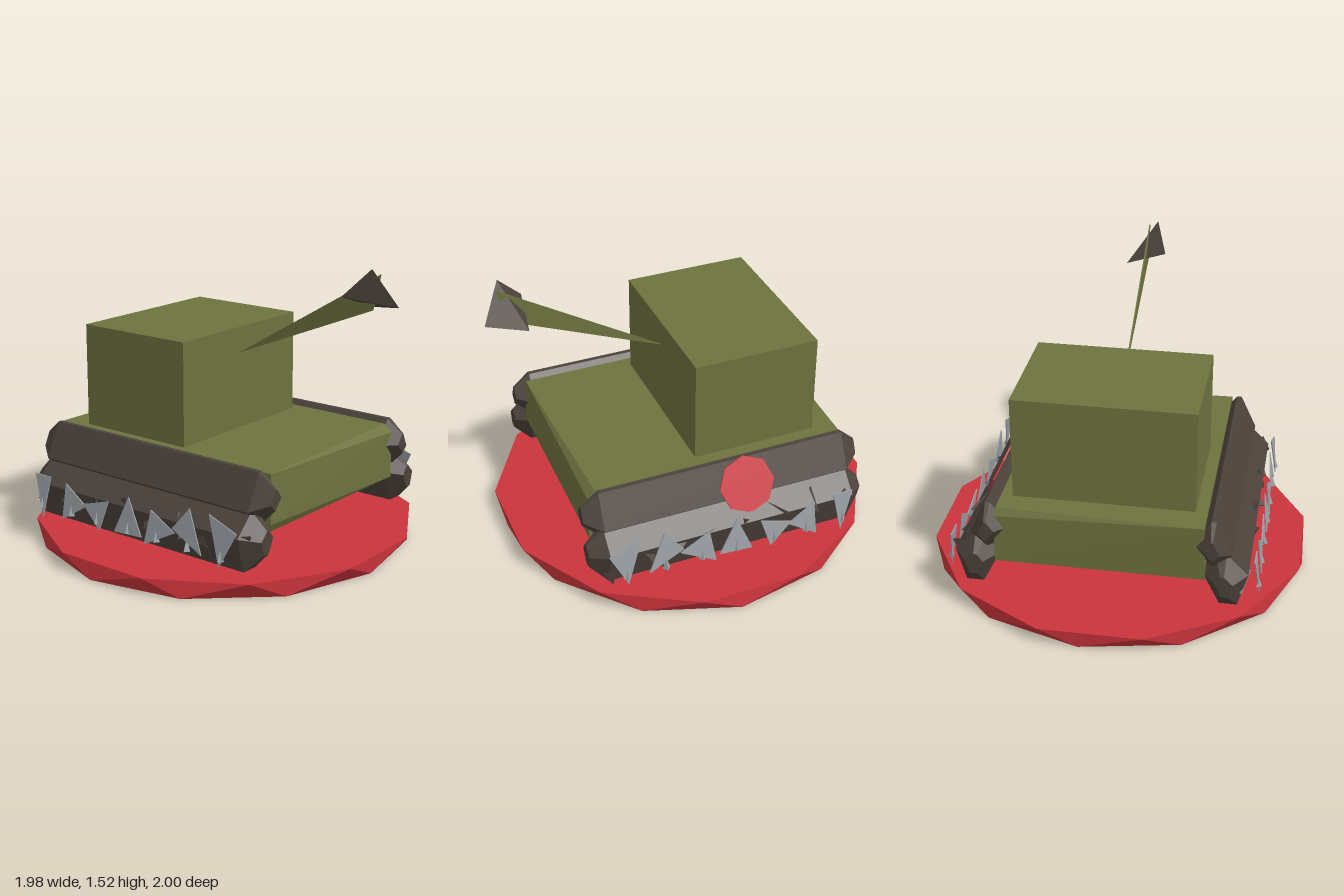
import * as THREE from 'three';
import { ConvexGeometry } from 'three/addons/geometries/ConvexGeometry.js';

const mat = (name, color) => {
  const m = new THREE.MeshStandardMaterial({ color, flatShading: true, side: THREE.DoubleSide });
  m.name = name;
  return m;
};

export function createModel() {
  const olive = mat('olive', 0x6d733f);
  const red = mat('red', 0xcb343c);
  const brown = mat('dark brown', 0x4c423b);
  const steel = mat('steel', 0x9ba1a7);
  const model = new THREE.Group();

  const add = (parent, name, geometry, material) => {
    const mesh = new THREE.Mesh(geometry, material);
    mesh.name = name;
    parent.add(mesh);
    return mesh;
  };
  const hull = (points) => new ConvexGeometry(points.map((p) => new THREE.Vector3(...p)));

  let seed = 7;
  const random = () => (seed = (seed * 16807) % 2147483647) / 2147483647;

  // Base: two twelve-sided rings, twisted against each other
  const rim = [];
  for (let i = 0; i < 12; i++) {
    const a = ((i + 0.5) * Math.PI) / 6;
    const b = a - 0.2;
    rim.push([1.01 * Math.cos(a), 0.09, 1.01 * Math.sin(a) - 0.02]);
    rim.push([0.99 * Math.cos(b), 0, 0.97 * Math.sin(b) - 0.02]);
  }
  add(model, 'base', hull(rim), red);

  // Body: slightly uneven block
  add(model, 'body', hull([
    [-0.52, 0.58, 0.67], [0.52, 0.58, 0.64], [0.53, 0.54, 0.68], [-0.53, 0.33, 0.68],
    [0.53, 0.29, 0.68], [-0.53, 0.28, 0.65], [0.53, 0.28, 0.66],
    [-0.52, 0.58, -0.73], [0.52, 0.58, -0.7], [0.53, 0.54, -0.72],
    [-0.53, 0.28, -0.72], [0.53, 0.28, -0.72],
  ]), olive);

  // Turret
  const turret = add(model, 'turret', new THREE.BoxGeometry(0.92, 0.54, 0.66), olive);
  turret.position.set(0, 0.85, -0.25);

  // Barrel: thin flaring plate with a pointed tip
  const barrel = [];
  for (const x of [-0.003, 0.003]) {
    barrel.push([x, 0.98, 0.07], [x, 1.49, 0.92], [x, 1.31, 0.88]);
  }
  add(model, 'barrel', hull(barrel), olive);
  add(model, 'barrelTip', hull([
    [-0.05, 1.52, 0.9], [-0.11, 1.38, 0.77], [0.11, 1.3, 0.8], [0.04, 1.33, 1],
  ]), brown);

  // Long bar with tapered ends from a cross-section in x and y
  const bar = (side, section) => {
    const cx = section.reduce((s, p) => s + p[0], 0) / section.length;
    const cy = section.reduce((s, p) => s + p[1], 0) / section.length;
    const points = [];
    for (const [z, k] of [[0.73, 0.4], [0.64, 1], [-0.69, 1], [-0.77, 0.4]]) {
      for (const [x, y] of section) points.push([side * (cx + (x - cx) * k), cy + (y - cy) * k, z]);
    }
    return hull(points);
  };
  const upper = [[0.45, 0.47], [0.55, 0.6], [0.575, 0.6], [0.66, 0.42], [0.57, 0.33]];
  const lower = [[0.51, 0.31], [0.58, 0.41], [0.63, 0.42], [0.74, 0.31], [0.69, 0.13], [0.6, 0.13]];

  // Teeth as triangles of z and y
  const teeth = [
    [[0.66, 0.35], [0.49, 0.41], [0.57, 0.17]],
    [[0.37, 0.41], [0.46, 0.2], [0.27, 0.29]],
    [[0.29, 0.27], [0.13, 0.35], [0.1, 0.17]],
    [[-0.02, 0.38], [0.08, 0.2], [-0.1, 0.19]],
    [[-0.15, 0.33], [-0.2, 0.17], [-0.32, 0.28]],
    [[-0.3, 0.27], [-0.45, 0.36], [-0.46, 0.17]],
    [[-0.56, 0.37], [-0.67, 0.37], [-0.6, 0.15]],
  ];

  for (const side of [1, -1]) {
    const track = new THREE.Group();
    track.name = side > 0 ? 'leftTrack' : 'rightTrack';
    model.add(track);
    add(track, 'upperTrack', bar(side, upper), brown);
    add(track, 'lowerTrack', bar(side, lower), brown);

    // Rough studs along the outer face
    for (let i = 0; i < 8; i++) {
      const stud = add(track, 'stud', new THREE.TetrahedronGeometry(0.085), brown);
      stud.position.set(side * 0.69, 0.21 + 0.1 * random(), 0.62 - i * 0.18);
      stud.rotation.set(random() * 6, random() * 6, random() * 6);
    }

    // Thin teeth leaning outwards at the bottom, each with a small fin
    for (const tooth of teeth) {
      const points = [];
      for (const t of [0, 0.006]) {
        for (const [z, y] of tooth) points.push([side * (0.815 - 0.12 * y - t), y, z]);
      }
      add(track, 'tooth', hull(points), steel);
      const z = (tooth[0][0] + tooth[1][0] + tooth[2][0]) / 3;
      add(track, 'toothFin', hull([
        [side * 0.78, 0.27, z], [side * 0.805, 0.2, z],
        [side * 0.78, 0.2, z + 0.02], [side * 0.78, 0.2, z - 0.02],
      ]), steel);
    }
  }

  // Round plate on the sloping face of the left track
  const disc = add(model, 'sidePlate', new THREE.CylinderGeometry(0.15, 0.15, 0.008, 8), red);
  disc.position.set(0.638, 0.475, -0.13);
  disc.rotation.z = -Math.atan2(0.18, 0.085);

  return model;
}
